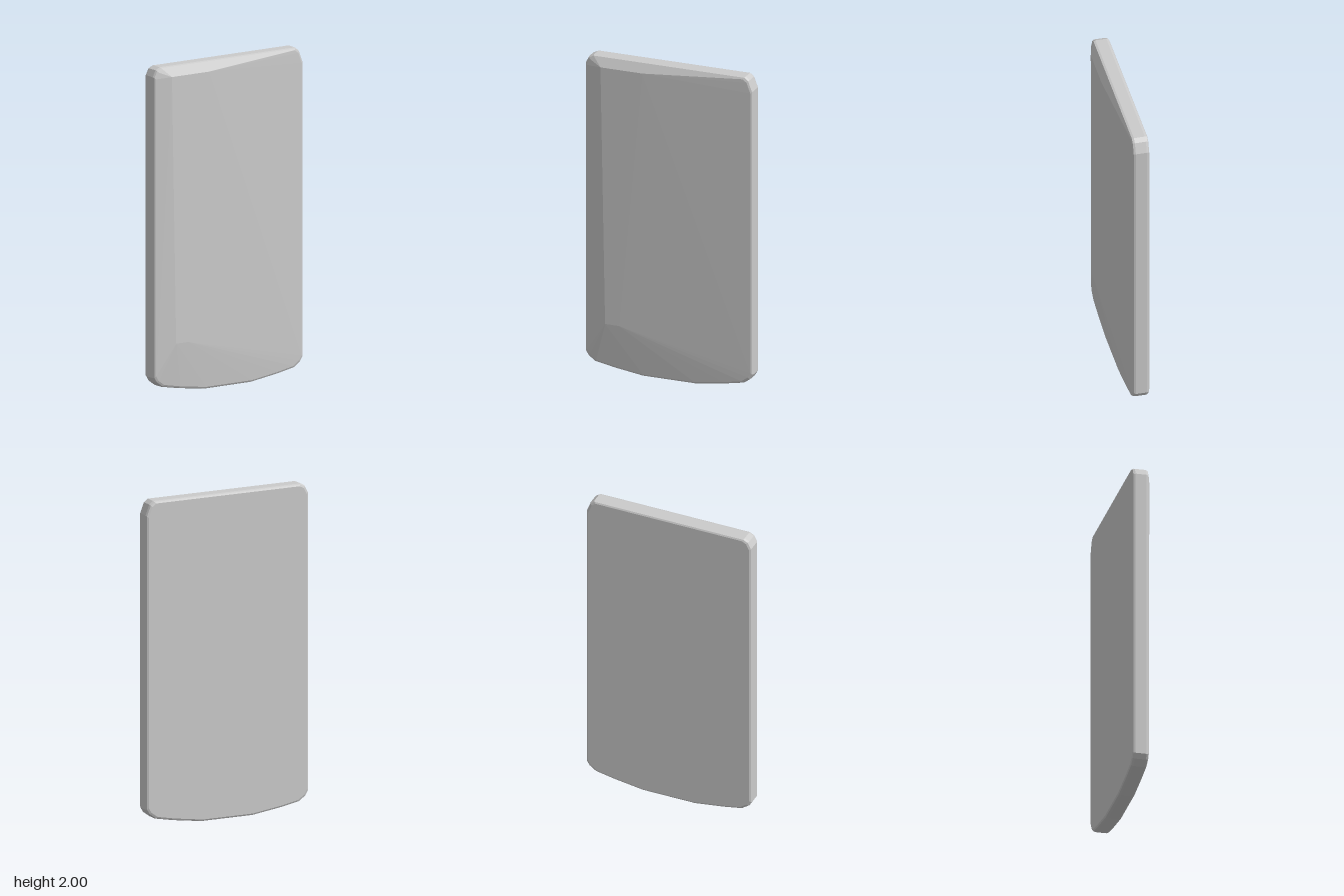
import * as THREE from 'three';
import { ConvexGeometry } from 'three/addons/geometries/ConvexGeometry.js';

export function createModel() {
  const group = new THREE.Group();
  group.name = 'slab';
  const material = new THREE.MeshStandardMaterial({ color: 0xcccccc, flatShading: true });

  // Outline: straight sides, clipped top corners, gently bowed bottom
  const outline = [
    [-0.49, 2], [-0.52, 1.985], [-0.54, 1.945], [-0.54, 0.11], [-0.522, 0.08], [-0.48, 0.05],
    [-0.36, 0.027], [-0.17, 0], [0.17, 0], [0.36, 0.027], [0.48, 0.05], [0.522, 0.08],
    [0.54, 0.11], [0.54, 1.915], [0.515, 1.98], [0.49, 2],
  ];

  // Rounded rim: [z, inset] from back to front
  const rim = [[-0.064, 0.013], [-0.059, 0.004], [-0.046, 0], [0.021, 0], [0.033, 0.004], [0.038, 0.013]];

  const points = [];
  for (const [z, inset] of rim) {
    for (const [x, y] of outline) {
      points.push(new THREE.Vector3(x * (1 - inset / 0.54), 1 + (y - 1) * (1 - inset), z));
    }
  }

  // Raised front face, highest toward the model's right
  for (const [x, y] of [[-0.43, 1.94], [-0.16, 1.94], [-0.4, 0.31], [-0.31, 0.31]]) {
    points.push(new THREE.Vector3(x, y, 0.064));
  }

  const body = new THREE.Mesh(new ConvexGeometry(points), material);
  body.name = 'body';
  group.add(body);
  return group;
}
